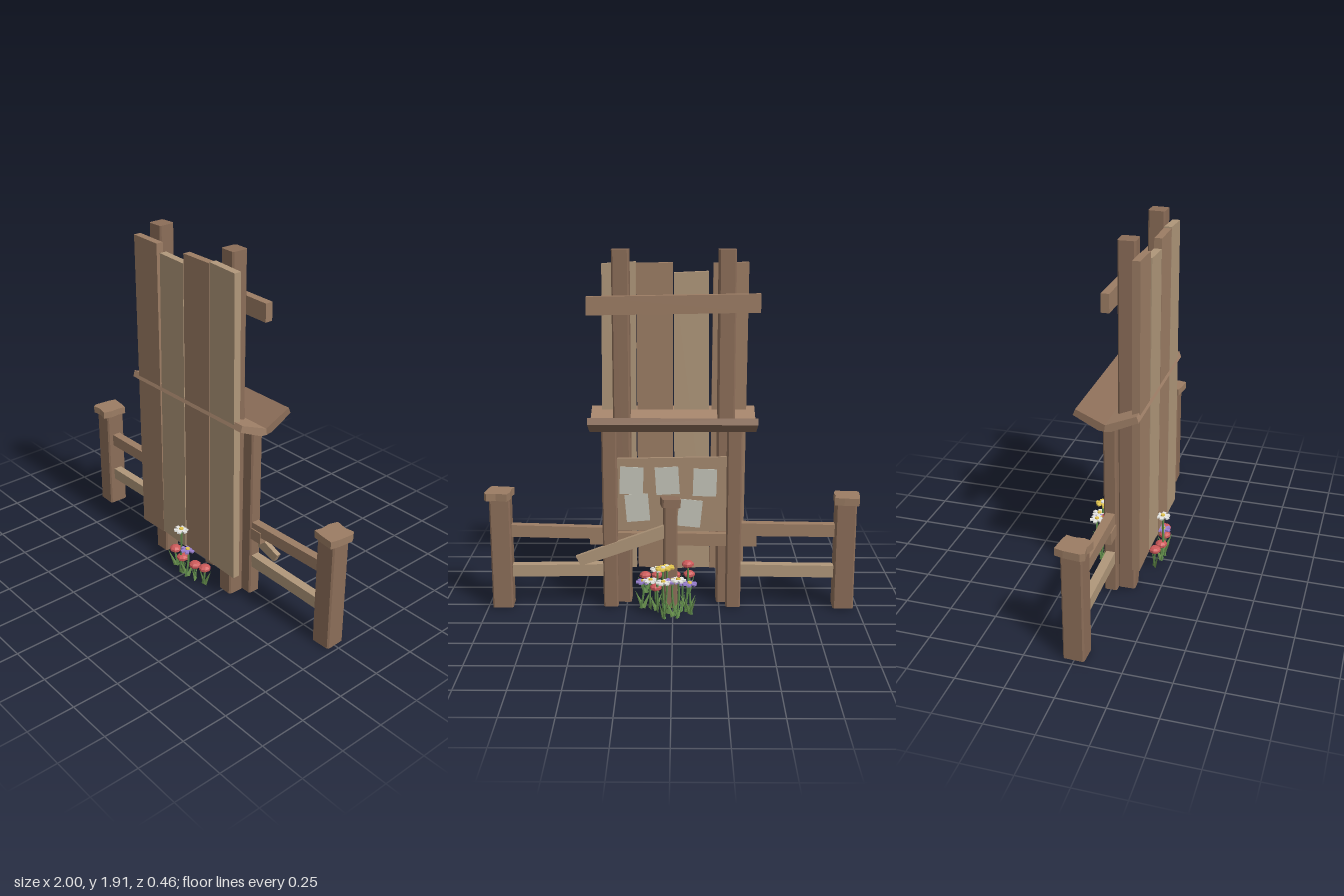
import * as THREE from 'three';

const mat = (color) => new THREE.MeshStandardMaterial({ color, flatShading: true, side: THREE.DoubleSide });
const M = {
  post: mat(0x8b6d58), dark: mat(0x9c7d64), light: mat(0xb0977a), roof: mat(0xa3836a),
  board: mat(0xa58a70), paper: mat(0xc4c4b8), stem: mat(0x5c8a4a), leaf: mat(0x6c9650),
  white: mat(0xe8e8e4), yellow: mat(0xe6c850), purple: mat(0x9a80d0), red: mat(0xcc5a5a),
};

export function createModel() {
  const model = new THREE.Group();

  const add = (name, geometry, material, parent = model) => {
    const mesh = new THREE.Mesh(geometry, material);
    mesh.name = name;
    parent.add(mesh);
    return mesh;
  };
  const polygon = (pts) => new THREE.Shape(pts.map(([x, y]) => new THREE.Vector2(x, y)));

  // Flat timber: outline in x/y, thickness from z0 to z1
  const timber = (name, pts, z0, z1, material) => {
    const g = new THREE.ExtrudeGeometry(polygon(pts), { depth: z1 - z0, bevelEnabled: false });
    return add(name, g.translate(0, 0, z0), material);
  };

  // Upright timber with chamfered corners
  const upright = (name, x, z, w, d, y0, y1, turn = 0, material = M.post) => {
    const a = w / 2, b = d / 2, c = 0.008;
    const g = new THREE.ExtrudeGeometry(polygon([
      [-a + c, -b], [a - c, -b], [a, -b + c], [a, b - c],
      [a - c, b], [-a + c, b], [-a, b - c], [-a, -b + c],
    ]), { depth: y1 - y0, bevelEnabled: false }).rotateX(-Math.PI / 2);
    const mesh = add(name, g, material);
    mesh.position.set(x, y0, z);
    mesh.rotation.y = turn;
    return mesh;
  };

  // Tall front planks with uneven ends
  [
    [[-0.385, 0.16], [-0.2, 0.165], [-0.21, 1.835], [-0.395, 1.84]],
    [[-0.2, 0.17], [-0.008, 0.162], [-0.004, 1.785], [-0.185, 1.793]],
    [[0, 0.165], [0.19, 0.17], [0.192, 1.835], [0, 1.837]],
    [[0.2, 0.168], [0.388, 0.162], [0.372, 1.832], [0.194, 1.842]],
  ].forEach((pts, i) => timber('frontPlank', pts, 0.125, 0.165, i % 2 ? M.light : M.dark));

  // Tall posts, and the shorter posts under the roof
  upright('tallPost', -0.28, 0.077, 0.09, 0.09, 0, 1.91, 0.03);
  upright('tallPost', 0.27, 0.077, 0.09, 0.09, 0, 1.91, -0.03);
  for (const x of [-0.325, 0.335]) upright('boardPost', x, 0, 0.08, 0.07, 0, 0.98);

  // Cross battens
  timber('upperBatten', [[-0.45, 1.595], [0.445, 1.58], [0.445, 1.675], [-0.45, 1.69]], -0.01, 0.032, M.dark);
  timber('lowerBatten', [[-0.45, 0.335], [0.445, 0.345], [0.445, 0.41], [-0.45, 0.405]], -0.005, 0.032, M.dark);

  // V-shaped roof, profile in -z / y
  const roofPanel = (name, pts, material) => {
    const g = new THREE.ExtrudeGeometry(polygon(pts), { depth: 0.87, bevelEnabled: false });
    add(name, g.rotateY(Math.PI / 2).translate(-0.435, 0, 0), material);
  };
  roofPanel('frontRoofPanel', [[-0.171, 1.042], [-0.03, 0.975], [0.005, 0.972], [0, 1.008], [-0.16, 1.075]], M.roof);
  roofPanel('backRoofPanel', [[0, 0.972], [0.035, 0.975], [0.165, 1.042], [0.152, 1.075], [0, 1.008]], M.post);

  // Notice board and its sheets
  timber('noticeBoard', [[-0.3, 0.42], [0.3, 0.42], [0.3, 0.82], [-0.3, 0.83]], 0.005, 0.025, M.board);
  [[0.22, 0.7, 0.04], [0.03, 0.7, -0.06], [-0.17, 0.69, 0.03], [0.19, 0.55, -0.08], [-0.09, 0.52, 0.1]]
    .forEach(([x, y, tilt]) => {
      const sheet = add('noticeSheet', new THREE.BoxGeometry(0.125, 0.15, 0.004), M.paper);
      sheet.position.set(x, y, 0.002);
      sheet.rotation.z = tilt;
    });

  // Signpost with a drooping pointer
  upright('signPost', 0.015, -0.018, 0.072, 0.072, 0, 0.575, 0.12);
  upright('signPostCap', 0.015, -0.02, 0.1, 0.1, 0.57, 0.615, 0.15).rotation.z = 0.05;
  timber('signPointer', [[0.0, 0.41], [0.395, 0.27], [0.495, 0.24], [0.52, 0.29], [0.4, 0.335], [0.02, 0.475]],
    -0.046, -0.02, M.light);

  // Fence ends: post, uneven cap and two rails
  for (const s of [-1, 1]) {
    const h = s < 0 ? 0.59 : 0.61;
    upright('fencePost', s * 0.92, 0, 0.11, 0.11, 0, h, s * 0.03);
    const cap = [[-0.07, -0.062], [-0.02, -0.072], [0.055, -0.08], [0.066, -0.035], [0.074, 0.05],
      [0.06, 0.072], [0.01, 0.064], [-0.05, 0.078], [-0.064, 0.03], [-0.06, -0.02]];
    const g = new THREE.ExtrudeGeometry(polygon(cap), { depth: 0.04, bevelEnabled: false }).rotateX(-Math.PI / 2);
    const mesh = add('fencePostCap', g, M.dark);
    mesh.position.set(s * 0.924, h - 0.004, 0);
    if (s < 0) mesh.rotation.y = Math.PI;
    const rail = (name, y0, y1, material) => {
      const pts = [[s * 0.3, y0 + 0.005], [s * 0.6, y0 + 0.004], [s * 0.88, y0], [s * 0.88, y1 - 0.008],
        [s * 0.6, y1 - 0.005], [s * 0.3, y1]];
      timber(name, pts, -0.022, 0.026, material);
    };
    if (s < 0) rail('upperRail', 0.395, 0.472, M.dark);
    else timber('upperRail', [[0.3, 0.378], [0.88, 0.392], [0.88, 0.458], [0.3, 0.442]], -0.018, 0.026, M.dark);
    rail('lowerRail', 0.165, 0.24, M.light);
  }

  // Flowers: bent stem, two leaves, and a petalled head or a bell
  const flower = (x, z, h, color, turn) => {
    const f = new THREE.Group();
    f.name = 'flower';
    f.position.set(x, 0, z);
    f.rotation.y = turn;
    const path = new THREE.QuadraticBezierCurve3(
      new THREE.Vector3(-0.015, 0, 0), new THREE.Vector3(0.008, h / 2, 0.006), new THREE.Vector3(0, h, 0));
    add('stem', new THREE.TubeGeometry(path, 4, 0.006, 5), M.stem, f);
    for (const s of [-1, 1]) {
      const leaf = add('leaf', new THREE.ConeGeometry(0.012, 0.11, 4).scale(1, 1, 0.35).translate(0, 0.055, 0), M.leaf, f);
      leaf.rotation.z = s * 0.4;
    }
    if (color === 'red') {
      const bell = add('bell', new THREE.SphereGeometry(0.034, 8, 5).scale(1, 0.6, 1), M.red, f);
      bell.position.y = h;
      return model.add(f);
    }
    for (let i = 0; i < 6; i++) {
      const petal = add('petal', new THREE.BoxGeometry(0.028, 0.009, 0.02).translate(0.025, 0, 0), M[color], f);
      petal.position.y = h;
      petal.rotation.y = i * Math.PI / 3;
    }
    const eye = add('flowerCentre', new THREE.CylinderGeometry(0.011, 0.014, 0.016, 7), M[color === 'yellow' ? 'white' : 'yellow'], f);
    eye.position.y = h + 0.004;
    model.add(f);
  };
  [
    // in front of the planks
    [-0.01, 0.192, 0.28, 'white'], [0.035, 0.185, 0.17, 'purple'], [-0.01, 0.185, 0.1, 'red'],
    [-0.09, 0.17, 0.11, 'red'], [0.09, 0.18, 0.1, 'red'], [0.155, 0.165, 0.105, 'red'],
    // behind the signpost
    [0.05, -0.17, 0.27, 'yellow'], [0.03, -0.125, 0.26, 'yellow'], [-0.03, -0.18, 0.21, 'white'],
    [0.05, -0.19, 0.2, 'white'], [0.0, -0.165, 0.2, 'purple'], [0.08, -0.1, 0.24, 'white'],
    [-0.08, -0.1, 0.27, 'red'], [-0.05, -0.09, 0.16, 'purple'], [-0.09, -0.13, 0.17, 'purple'],
    [0.09, -0.08, 0.13, 'red'], [0.12, -0.06, 0.16, 'white'], [0.16, -0.05, 0.15, 'purple'],
  ].forEach(([x, z, h, color], i) => flower(x, z, h, color, i * 1.3));

  return model;
}
